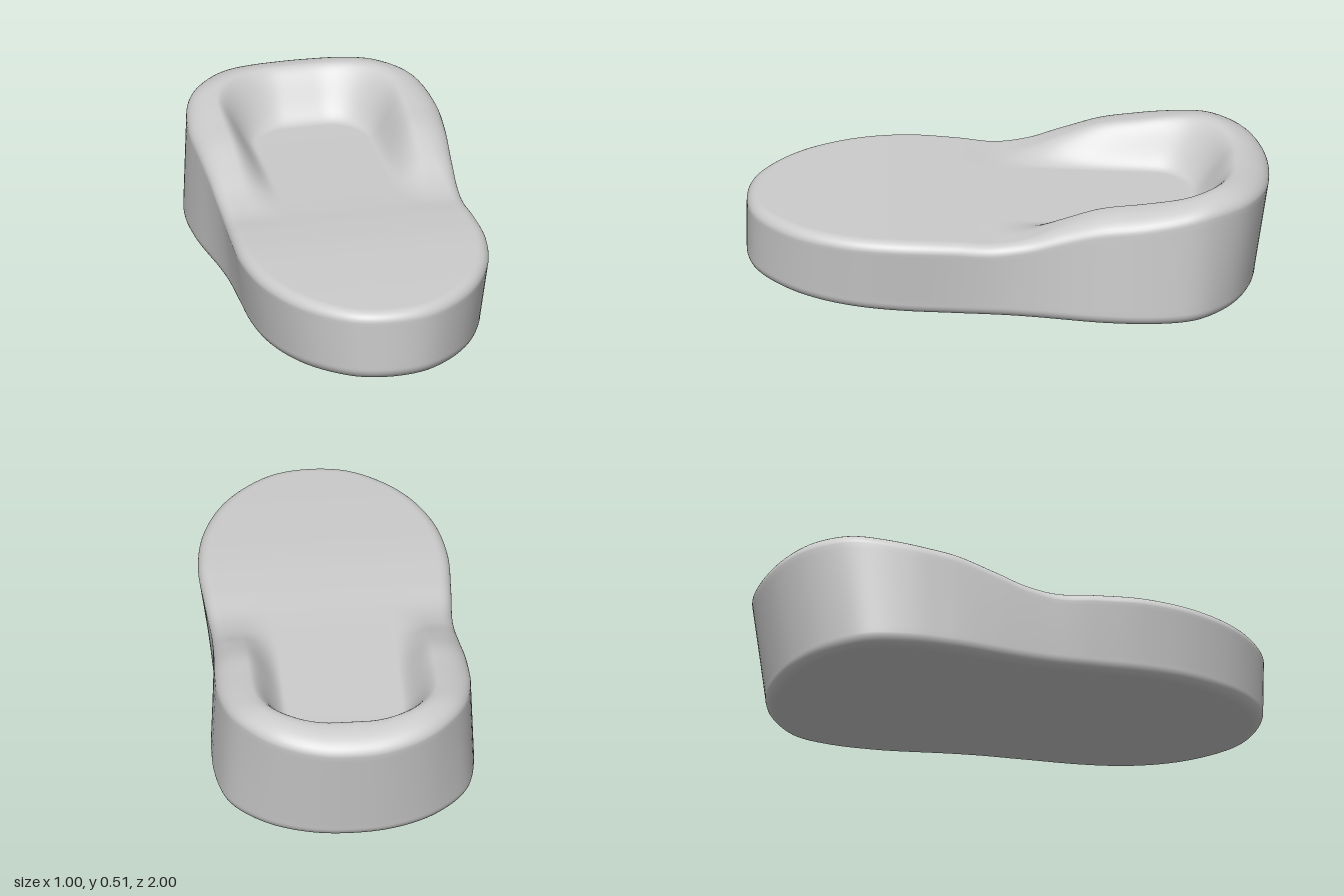
import * as THREE from 'three';
import { mergeVertices } from 'three/addons/utils/BufferGeometryUtils.js';

const { lerp, clamp, smoothstep } = THREE.MathUtils;

// Smooth curve through [position, value] pairs (cubic Hermite)
function profile(points) {
  const slope = points.map((p, i) => {
    const a = points[Math.max(i - 1, 0)], b = points[Math.min(i + 1, points.length - 1)];
    return (b[1] - a[1]) / (b[0] - a[0]);
  });
  return (value) => {
    const v = clamp(value, points[0][0], points[points.length - 1][0]);
    let i = 0;
    while (i < points.length - 2 && v > points[i + 1][0]) i++;
    const [x0, y0] = points[i], [x1, y1] = points[i + 1];
    const w = x1 - x0, t = (v - x0) / w, t2 = t * t, t3 = t2 * t;
    return y0 * (2 * t3 - 3 * t2 + 1) + y1 * (3 * t2 - 2 * t3)
      + w * (slope[i] * (t3 - 2 * t2 + t) + slope[i + 1] * (t3 - t2));
  };
}

// Heights along the length: raised rim, seat floor and underside
const rimHeight = profile([[-1, 0.505], [-0.8, 0.517], [-0.65, 0.5], [-0.5, 0.482], [-0.35, 0.464],
  [-0.2, 0.415], [-0.08, 0.37], [0.05, 0.35], [0.2, 0.362], [0.4, 0.372], [0.7, 0.37], [1, 0.362]]);
const floorHeight = profile([[-1, 0.32], [-0.6, 0.325], [-0.3, 0.335], [0.05, 0.35],
  [0.2, 0.362], [0.4, 0.372], [0.7, 0.37], [1, 0.362]]);
const baseHeight = profile([[-1, 0.012], [-0.7, 0.002], [-0.4, 0.006], [0, 0.02], [0.4, 0.036],
  [0.7, 0.052], [1, 0.08]]);
const underside = (x, z) => baseHeight(z) + 0.1 * x * x;

// Upper surface: a flat footrest that runs into a U-shaped hollow
function topSurface(x, z) {
  const radius = 0.15;
  const qx = Math.abs(x) - 0.22 + radius, qz = -0.7 - z + radius;
  const d = Math.hypot(Math.max(qx, 0), Math.max(qz, 0)) + Math.min(Math.max(qx, qz), 0) - radius;
  const width = lerp(0.14, 0.18, smoothstep(-z, 0.55, 0.8));
  const dip = 0.012 * smoothstep(-z, 0.5, 0.8) * (1 - smoothstep(Math.abs(x), 0.05, 0.32));
  return lerp(floorHeight(z), rimHeight(z) - dip, smoothstep(d, 0, width));
}

// Plan outline, half sampled and then mirrored; each entry has a position and outward normal
function planOutline(count) {
  const half = [[0.14, 0.977], [0.26, 0.9], [0.365, 0.78], [0.447, 0.6], [0.48, 0.4], [0.475, 0.2],
    [0.464, 0], [0.472, -0.2], [0.486, -0.4], [0.487, -0.55], [0.455, -0.72], [0.4, -0.82],
    [0.3, -0.92], [0.16, -0.982]];
  const points = [[0, 1], ...half, [0, -1], ...half.map(([x, z]) => [-x, z]).reverse()];
  const curve = new THREE.CatmullRomCurve3(points.map(([x, z]) => new THREE.Vector3(x, 0, z)), true);
  const outline = [];
  for (let j = 0; j <= count / 2; j++) {
    const p = curve.getPointAt(j / count), t = curve.getTangentAt(j / count);
    const end = j === 0 || j === count / 2;
    outline.push({ x: end ? 0 : p.x, z: p.z, nx: end ? 0 : -t.z, nz: end ? Math.sign(p.z) : t.x });
  }
  for (let j = count / 2 - 1; j > 0; j--) {
    const o = outline[j];
    outline.push({ x: -o.x, z: o.z, nx: -o.nx, nz: o.nz });
  }
  return outline;
}

// Walls narrow toward the base at the front and back and flare a little beside the seat
function taper(x, z, t) {
  const low = 1 - t;
  const front = 0.07 * smoothstep(z, -0.3, 0.4);
  const flare = 0.025 * smoothstep(-z, 0.1, 0.4);
  return [x * (1 + low * (flare - front)), z + 0.055 * low * smoothstep(-z, 0.6, 1)];
}

function bodyGeometry() {
  const COUNT = 192, CAP = 48, ROUND = 10, WALL = 16;
  const outline = planOutline(COUNT);
  const rings = [];
  const addRing = (fn) => rings.push(outline.map(fn));
  const inset = (o, d) => [o.x - o.nx * d, o.z - o.nz * d];
  // Shrinks a ring onto a line along the middle
  const shrink = ([x, z], k) => [x * k, z * (0.5 + 0.5 * k)];

  // Edge roundings: small on the footrest, wide and soft on the rim
  const topRound = (z) => {
    const s = smoothstep(-z, 0, 0.4);
    return { w: lerp(0.045, 0.12, s), h: lerp(0.04, 0.065, s) };
  };
  const LOW = 0.045;
  const lowPoint = (o, a) => {
    const [x, z] = inset(o, LOW * (1 - Math.sin(a)));
    const [tx, tz] = taper(x, z, 0);
    return [tx, underside(x, z) + LOW * (1 - Math.cos(a)), tz];
  };
  const topPoint = (o, a) => {
    const { w, h } = topRound(o.z);
    const [x, z] = inset(o, w * (1 - Math.cos(a)));
    return [x, topSurface(x, z) - h * (1 - Math.sin(a)), z];
  };

  // Underside
  for (let i = 0; i < 16; i++) addRing((o) => {
    const [x, z] = shrink(inset(o, LOW), i / 16);
    const [tx, tz] = taper(x, z, 0);
    return [tx, underside(x, z), tz];
  });
  // Lower edge
  for (let i = 0; i <= ROUND; i++) addRing((o) => lowPoint(o, (i / ROUND) * Math.PI / 2));
  // Side wall
  for (let i = 1; i < WALL; i++) addRing((o) => {
    const t = i / WALL;
    const [x, z] = taper(o.x, o.z, t);
    return [x, lerp(lowPoint(o, Math.PI / 2)[1], topPoint(o, 0)[1], t), z];
  });
  // Upper edge
  for (let i = 0; i <= ROUND; i++) addRing((o) => topPoint(o, (i / ROUND) * Math.PI / 2));
  // Footrest and hollow
  for (let i = CAP - 1; i >= 0; i--) addRing((o) => {
    const [x, z] = shrink(inset(o, topRound(o.z).w), i / CAP);
    return [x, topSurface(x, z), z];
  });

  const index = [];
  for (let i = 0; i < rings.length - 1; i++) {
    for (let j = 0; j < COUNT; j++) {
      const a = i * COUNT + j, b = i * COUNT + (j + 1) % COUNT;
      index.push(a, b, b + COUNT, a, b + COUNT, a + COUNT);
    }
  }
  const geometry = new THREE.BufferGeometry();
  geometry.setAttribute('position', new THREE.Float32BufferAttribute(rings.flat(2), 3));
  geometry.setIndex(index);
  const merged = mergeVertices(geometry, 1e-5);
  merged.computeVertexNormals();
  return merged;
}

export function createModel() {
  const group = new THREE.Group();
  group.name = 'lounger';
  const body = new THREE.Mesh(bodyGeometry(), new THREE.MeshStandardMaterial({ color: 0xcccccc }));
  body.name = 'cushionBody';
  group.add(body);
  return group;
}
